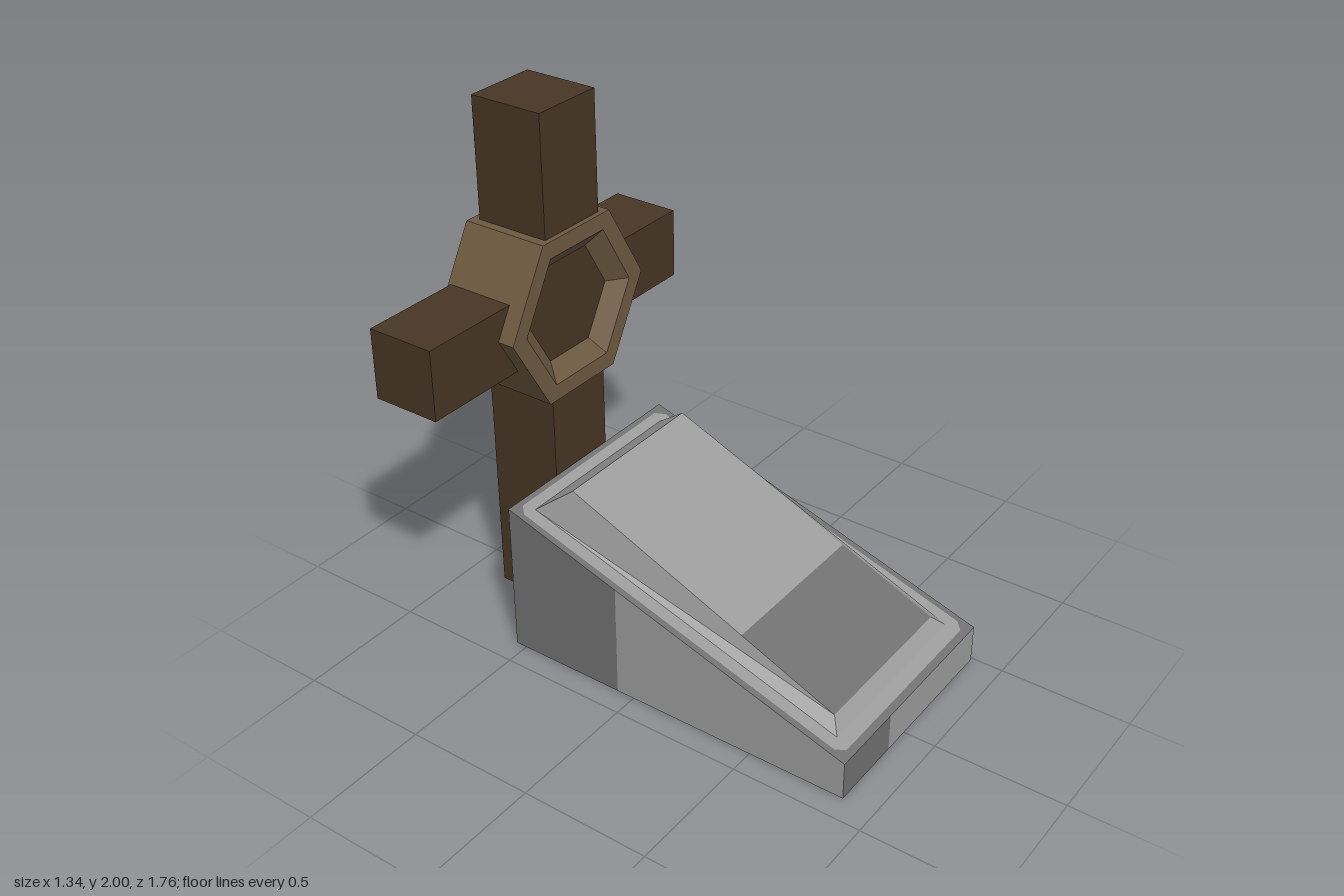
import * as THREE from 'three';

const mat = (name, color, side = THREE.FrontSide) => {
  const m = new THREE.MeshStandardMaterial({ color, side });
  m.name = name;
  return m;
};

// Faceted geometry from a list of four-cornered faces
function quads(list) {
  const p = [];
  for (const [a, b, c, d] of list) p.push(...a, ...b, ...c, ...a, ...c, ...d);
  const g = new THREE.BufferGeometry();
  g.setAttribute('position', new THREE.Float32BufferAttribute(p, 3));
  g.computeVertexNormals();
  return g;
}

// Rectangle with cut corners, starting front left, each point raised by a height rule
function loop(x0, x1, z0, z1, cut, height) {
  return [
    [x0 + cut, z1], [x1 - cut, z1], [x1, z1 - cut], [x1, z0 + cut],
    [x1 - cut, z0], [x0 + cut, z0], [x0, z0 + cut], [x0, z1 - cut],
  ].map(([x, z]) => [x, height(z), z]);
}

const band = (a, b) => a.map((p, i) => {
  const j = (i + 1) % a.length;
  return [p, a[j], b[j], b[i]];
});

const mix = (a, b, t) => a.map((v, i) => v + (b[i] - v) * t);

export function createModel() {
  const model = new THREE.Group();
  const darkWood = mat('dark wood', 0x463624);
  const paleWood = mat('pale wood', 0x6c5a40);
  const stone = mat('pale stone', 0x9c9c9c, THREE.DoubleSide);
  const darkStone = mat('dark stone', 0x717171, THREE.DoubleSide);

  const add = (name, geometry, material, parent) => {
    const mesh = new THREE.Mesh(geometry, material);
    mesh.name = name;
    parent.add(mesh);
    return mesh;
  };

  // Cross arms
  const cross = new THREE.Group();
  cross.name = 'cross';
  model.add(cross);
  const beam = (name, x0, x1, y0, y1, z0, z1) => {
    const g = new THREE.BoxGeometry(x1 - x0, y1 - y0, z1 - z0);
    add(name, g, darkWood, cross).position.set((x0 + x1) / 2, (y0 + y1) / 2, (z0 + z1) / 2);
  };
  beam('lowerPost', -0.125, 0.165, 0, 0.96, -0.85, -0.555);
  beam('upperPost', -0.125, 0.165, 1.5, 2, -0.85, -0.555);
  beam('rightArm', -0.67, -0.24, 1.075, 1.345, -0.868, -0.6);
  beam('leftArm', 0.28, 0.67, 1.075, 1.345, -0.868, -0.6);

  // Six-sided hub with a bevelled recess in front
  const profile = [[0, -0.88], [0.36, -0.88], [0.36, -0.535], [0.287, -0.535], [0.215, -0.59]]
    .map(([r, z]) => new THREE.Vector2(r, z));
  const hub = new THREE.LatheGeometry(profile, 6, Math.PI / 6).rotateX(Math.PI / 2).toNonIndexed();
  hub.computeVertexNormals();
  add('hub', hub, paleWood, cross).position.set(0.02, 1.23, 0);
  add('hubPanel', new THREE.CircleGeometry(0.215, 6), darkWood, cross).position.set(0.02, 1.23, -0.59);

  // Wedge-shaped grave base, open underneath
  const base = new THREE.Group();
  base.name = 'base';
  model.add(base);
  const rimY = z => 0.15 + 0.45 * (0.877 - z) / 1.422;
  const slabY = z => 0.22 + 0.47 * (0.76 - z) / 1.105;

  // Walls: the first third of each is darker
  const corners = [[-0.405, 0.877], [0.49, 0.877], [0.49, -0.545], [-0.405, -0.545]];
  const wallPart = (t0, t1) => corners.map((c, i) => {
    const next = corners[(i + 1) % 4];
    const [a, b] = [mix(c, next, t0), mix(c, next, t1)];
    return [[a[0], 0, a[1]], [b[0], 0, b[1]], [b[0], rimY(b[1]), b[1]], [a[0], rimY(a[1]), a[1]]];
  });
  add('darkWalls', quads(wallPart(0, 1 / 3)), darkStone, base);
  add('paleWalls', quads(wallPart(1 / 3, 1)), stone, base);

  // Sloping rim in two bands
  const outer = loop(-0.405, 0.49, -0.545, 0.877, 0, rimY);
  const middle = loop(-0.38, 0.465, -0.525, 0.85, 0.03, rimY);
  const inner = loop(-0.33, 0.415, -0.485, 0.8, 0, rimY);
  add('outerRim', quads(band(outer, middle)), darkStone, base);
  add('innerRim', quads(band(middle, inner)), stone, base);

  // Raised slab with sloping sides and a darker lower third
  const top = loop(-0.285, 0.37, -0.345, 0.76, 0, slabY);
  add('slabSides', quads(band(inner, top)), stone, base);
  const slabFace = (z0, z1) => quads([[
    [-0.285, slabY(z1), z1], [0.37, slabY(z1), z1], [0.37, slabY(z0), z0], [-0.285, slabY(z0), z0],
  ]]);
  add('slabLower', slabFace(0.38, 0.76), darkStone, base);
  add('slabUpper', slabFace(-0.345, 0.38), stone, base);

  return model;
}
